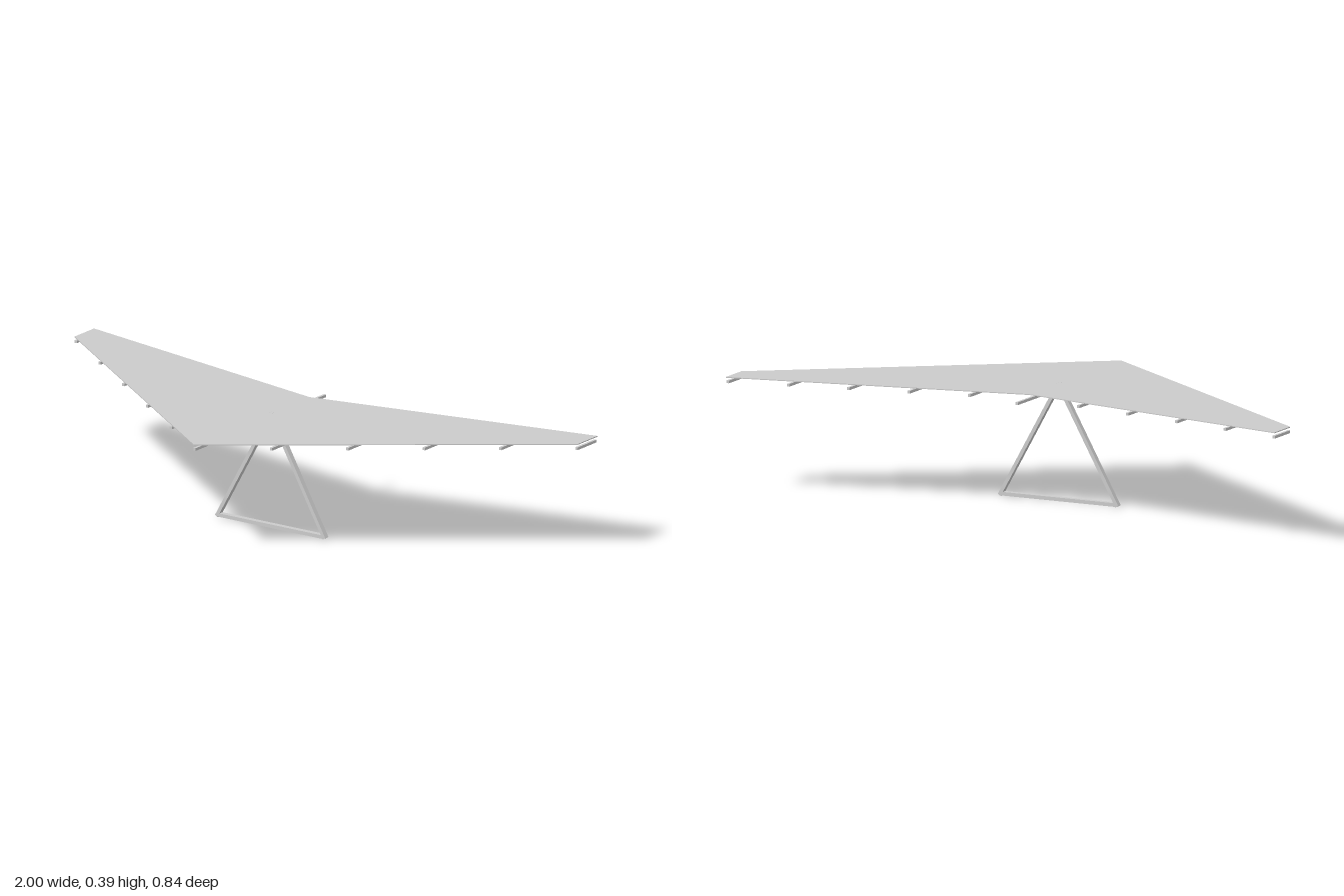
import * as THREE from 'three';

const material = new THREE.MeshStandardMaterial({ color: 0xcccccc, flatShading: true });

function addMesh(parent, name, geometry) {
  const mesh = new THREE.Mesh(geometry, material);
  mesh.name = name;
  parent.add(mesh);
  return mesh;
}

// Edges of the swept wing at a given distance from the centre line
const leadingEdge = (x) => 0.418 - 0.73 * Math.abs(x);
const trailingEdge = (x) => -0.22 - 0.2 * Math.abs(x);

export function createModel() {
  const model = new THREE.Group();
  model.name = 'hangGlider';

  // Sail: thin flat plate, drawn in x and -z, then laid down
  const outline = new THREE.Shape([
    [0, leadingEdge(0)], [-1, leadingEdge(1)], [-1, trailingEdge(1)],
    [0, trailingEdge(0)], [1, trailingEdge(1)], [1, leadingEdge(1)],
  ].map(([x, z]) => new THREE.Vector2(x, -z)));
  const sail = addMesh(model, 'sail',
    new THREE.ExtrudeGeometry(outline, { depth: 0.003, bevelEnabled: false }));
  sail.rotation.x = -Math.PI / 2;
  sail.position.y = 0.3855;

  // Battens hang just below the sail; the middle one is the keel and runs past the back
  const battens = new THREE.Group();
  battens.name = 'battens';
  model.add(battens);
  for (let i = -5; i <= 5; i++) {
    const x = i * 0.199;
    const front = leadingEdge(x) - 0.003;
    const back = i === 0 ? -0.305 : trailingEdge(x) + 0.003;
    const batten = addMesh(battens, i === 0 ? 'keel' : 'batten',
      new THREE.BoxGeometry(0.009, 0.009, front - back));
    batten.position.set(x, 0.372, (front + back) / 2);
  }

  // Triangular control frame of flat bars
  const frame = new THREE.Group();
  frame.name = 'controlFrame';
  frame.position.z = -0.011;
  model.add(frame);
  const addBar = (name, x1, y1, x2, y2) => {
    const bar = addMesh(frame, name,
      new THREE.BoxGeometry(0.012, Math.hypot(x2 - x1, y2 - y1), 0.018));
    bar.position.set((x1 + x2) / 2, (y1 + y2) / 2, 0);
    bar.rotation.z = Math.atan2(x1 - x2, y2 - y1);
  };
  for (const side of [-1, 1]) {
    addBar(side > 0 ? 'leftUpright' : 'rightUpright', side * 0.214, 0.003, 0, 0.386);
  }
  addBar('baseBar', -0.212, 0.008, 0.212, 0.008);

  return model;
}
